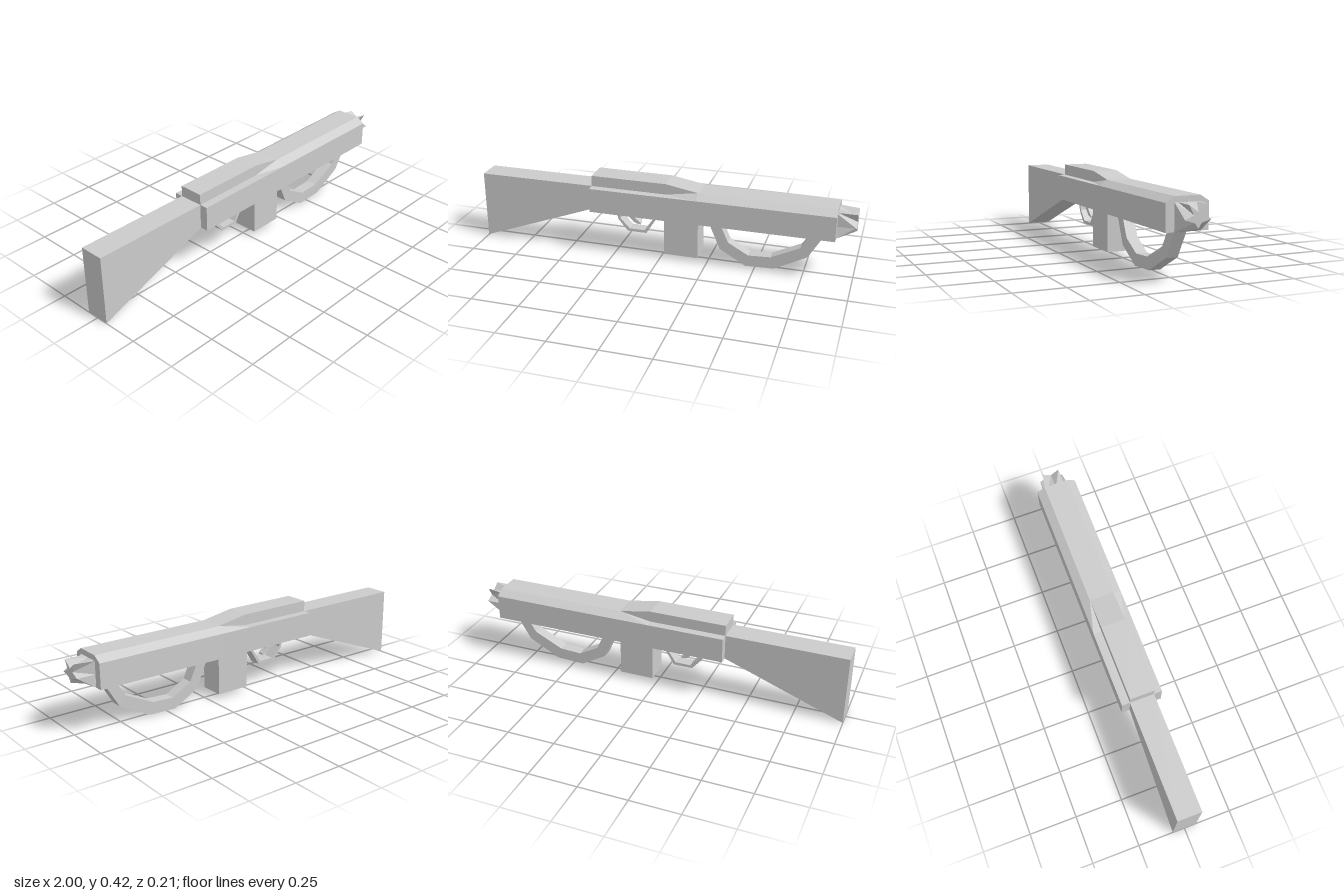
import * as THREE from 'three';

const material = new THREE.MeshStandardMaterial({ color: 0xcccccc, flatShading: true });

function addMesh(group, name, geometry) {
  const mesh = new THREE.Mesh(geometry, material);
  mesh.name = name;
  group.add(mesh);
}

// Side profile in x, y extruded evenly about z = 0
function slab(points, halfWidth) {
  const shape = new THREE.Shape(points.map(([x, y]) => new THREE.Vector2(x, y)));
  const geometry = new THREE.ExtrudeGeometry(shape, { depth: halfWidth * 2, bevelEnabled: false });
  return geometry.translate(0, 0, -halfWidth);
}

// Completes a half section (bottom to top) into a counter-clockwise ring;
// points on the centre line are not doubled
function mirrorRing(half) {
  const other = half.filter(([u]) => u > 0).reverse().map(([u, y]) => [-u, y]);
  return [...half, ...other];
}

// Skin between sections standing along x, closed at both ends
function loft(stations) {
  const pos = [];
  const put = ({ x, ring }, i) => pos.push(x, ring[i][1], -ring[i][0]);
  const n = stations[0].ring.length;
  for (let s = 0; s < stations.length - 1; s++) {
    const a = stations[s], b = stations[s + 1];
    for (let i = 0; i < n; i++) {
      const j = (i + 1) % n;
      put(a, i); put(a, j); put(b, j);
      put(a, i); put(b, j); put(b, i);
    }
  }
  const cap = (station, flip) => {
    const contour = station.ring.map(([u, y]) => new THREE.Vector2(u, y));
    for (const [i, j, k] of THREE.ShapeUtils.triangulateShape(contour, [])) {
      put(station, i); put(station, flip ? k : j); put(station, flip ? j : k);
    }
  };
  cap(stations[0], true);
  cap(stations[stations.length - 1], false);
  const geometry = new THREE.BufferGeometry();
  geometry.setAttribute('position', new THREE.Float32BufferAttribute(pos, 3));
  geometry.computeVertexNormals();
  return geometry;
}

export function createModel() {
  const group = new THREE.Group();
  group.name = 'rifle';

  // Wedge-shaped shoulder stock
  addMesh(group, 'stock', slab([[-1, 0.003], [-0.375, 0.237], [-0.375, 0.367], [-1, 0.367]], 0.064));

  // Body: raised rear cover sloping down into a chamfered front
  const bodyStations = [[-0.375, 0.367, 0.424], [0.03, 0.367, 0.424], [0.2, 0.395, 0.395], [0.905, 0.395, 0.395]];
  addMesh(group, 'body', loft(bodyStations.map(([x, shoulder, top]) => ({
    x,
    ring: mirrorRing([[0.107, 0.237], [0.107, 0.367], [0.064, shoulder], [0.064, top]]),
  }))));

  // Muzzle: square base drawn out into a five-pointed star
  const square = [[0, 0.237], [0.064, 0.237], [0.064, 0.302], [0.064, 0.367], [0.045, 0.367], [0, 0.367]];
  const star = [[0, 0.263], [0.017, 0.288], [0.064, 0.302], [0.022, 0.322], [0.045, 0.367], [0, 0.334]];
  addMesh(group, 'muzzle', loft([
    { x: 0.905, ring: mirrorRing(square) },
    { x: 1, ring: mirrorRing(star) },
  ]));

  // Magazine
  addMesh(group, 'magazine', new THREE.BoxGeometry(0.182, 0.215, 0.128).translate(0.111, 0.1345, 0));

  // Front hand loop
  addMesh(group, 'handLoop', slab([
    [0.243, 0.24], [0.313, 0.08], [0.45, 0.002], [0.6, 0.008], [0.767, 0.096], [0.853, 0.24],
    [0.79, 0.24], [0.73, 0.144], [0.58, 0.07], [0.463, 0.064], [0.356, 0.123], [0.302, 0.24],
  ], 0.03));

  // Trigger guard
  addMesh(group, 'triggerGuard', slab([
    [-0.255, 0.24], [-0.243, 0.18], [-0.19, 0.118], [-0.088, 0.118], [-0.035, 0.203], [-0.045, 0.24],
    [-0.062, 0.24], [-0.05, 0.203], [-0.097, 0.133], [-0.18, 0.133], [-0.23, 0.185], [-0.238, 0.24],
  ], 0.03));

  // Curved trigger
  addMesh(group, 'trigger', slab([
    [-0.2, 0.24], [-0.19, 0.195], [-0.16, 0.165], [-0.125, 0.157],
    [-0.125, 0.165], [-0.15, 0.185], [-0.167, 0.21], [-0.163, 0.24],
  ], 0.015));

  return group;
}
